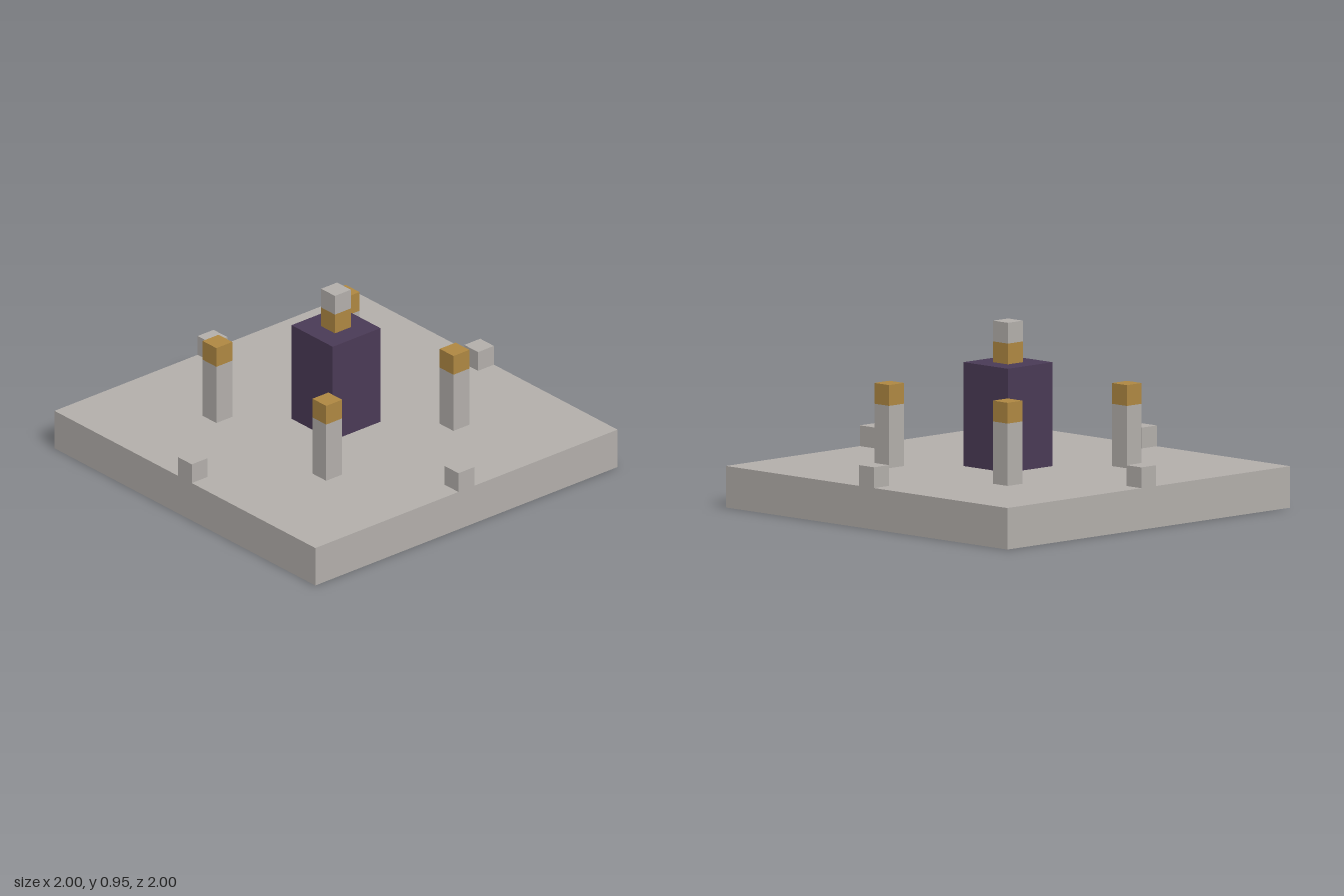
import * as THREE from 'three';

const U = 2 / 19; // one block

export function createModel() {
  const model = new THREE.Group();
  const material = (name, color) => {
    const m = new THREE.MeshStandardMaterial({ color });
    m.name = name;
    return m;
  };
  const stone = material('stone', 0xb3afab);
  const purple = material('dark purple', 0x4a3a56);
  const gold = material('gold', 0xaf8842);

  // Box sized in blocks, standing on height y at (x, z)
  const block = (name, mat, width, height, x, y, z) => {
    const geometry = new THREE.BoxGeometry(width * U, height * U, width * U);
    const mesh = new THREE.Mesh(geometry, mat);
    mesh.name = name;
    mesh.position.set(x * U, (y + height / 2) * U, z * U);
    model.add(mesh);
  };

  // Platform and central monument
  block('platform', stone, 19, 2, 0, 0, 0);
  block('monument', purple, 3, 5, 0, 2, 0);
  block('monumentCollar', gold, 1, 1, 0, 7, 0);
  block('monumentTip', stone, 1, 1, 0, 8, 0);

  // Four gold-topped pillars around the monument
  for (const x of [-4, 4]) {
    for (const z of [-4, 4]) {
      block('pillar', stone, 1, 3, x, 2, z);
      block('pillarCap', gold, 1, 1, x, 5, z);
    }
  }

  // Marker block in the middle of each platform edge
  for (const [x, z] of [[9, 0], [-9, 0], [0, 9], [0, -9]]) {
    block('edgeMarker', stone, 1, 1, x, 2, z);
  }

  return model;
}
